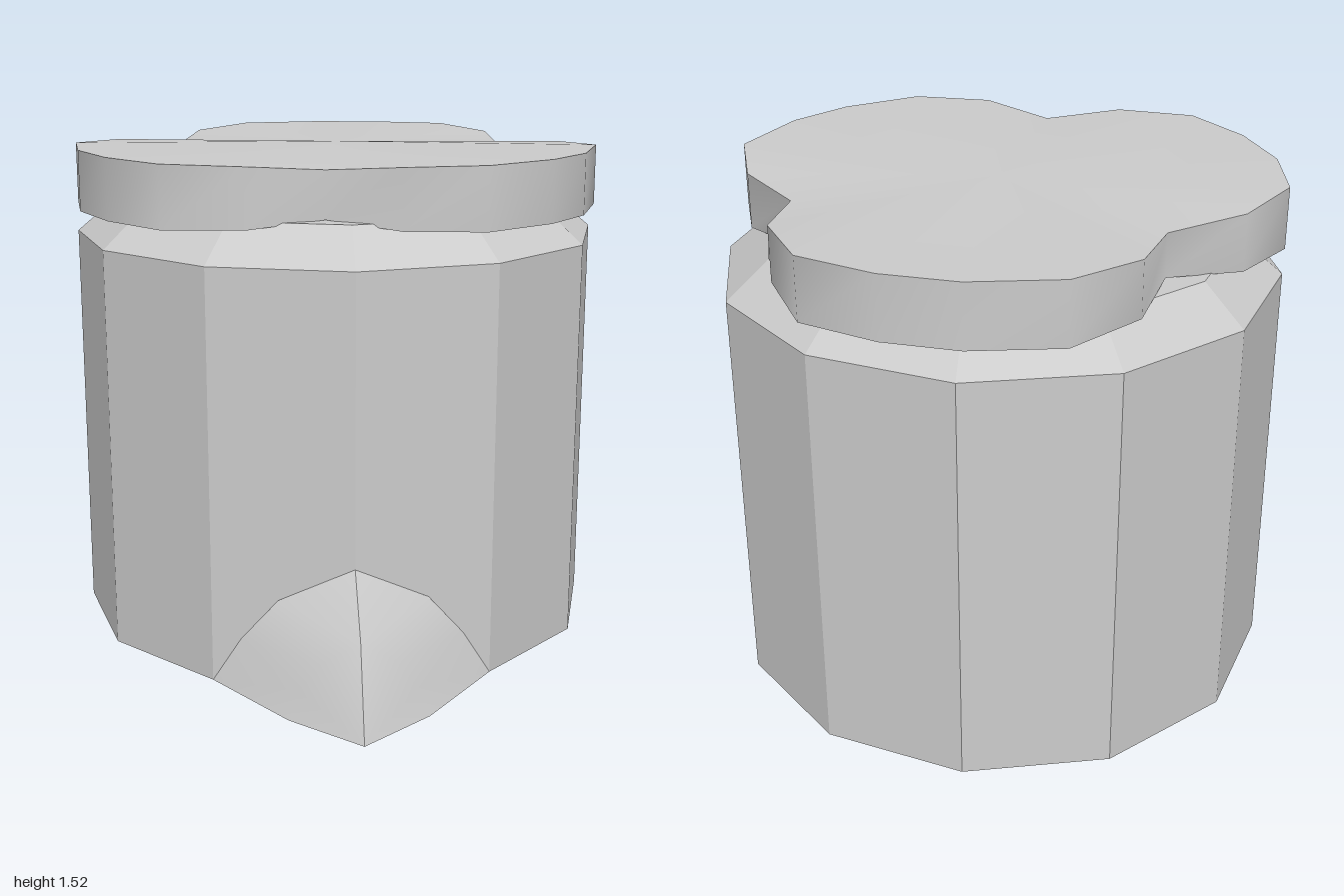
import * as THREE from 'three';
import { toCreasedNormals } from 'three/addons/utils/BufferGeometryUtils.js';

const CZ = -0.17; // body axis

function build(points, faces, crease) {
  const g = new THREE.BufferGeometry();
  g.setAttribute('position', new THREE.Float32BufferAttribute(points.flat(), 3));
  g.setIndex(faces.flat());
  return toCreasedNormals(g, crease);
}

// Irregular lobed slab, thinner where its rim pinches inward
function lidGeometry() {
  const rim = [
    [-0.02, -1], [0.2, -0.975], [0.43, -0.885], [0.56, -0.66], [0.56, -0.42], [0.73, -0.26],
    [0.81, -0.02], [0.72, 0.24], [0.59, 0.41], [0.38, 0.56], [0.14, 0.56], [-0.07, 0.44],
    [-0.3, 0.51], [-0.54, 0.46], [-0.7, 0.27], [-0.8, 0.05], [-0.83, -0.2], [-0.71, -0.41],
    [-0.5, -0.53], [-0.45, -0.77], [-0.28, -0.95],
  ];
  const n = rim.length, mid = 1.428, full = 0.093;
  const half = ([x, z]) => Math.min(full, full - (0.8 - Math.hypot(x, z + 0.2)) * 0.14);
  const points = [
    ...rim.map((p) => [p[0], mid - half(p), p[1]]),
    ...rim.map((p) => [p[0], mid + half(p), p[1]]),
    [0, mid - full, -0.2], [0, mid + full, -0.2],
  ];
  const faces = [];
  for (let i = 0; i < n; i++) {
    const j = (i + 1) % n;
    faces.push([j, i, n + i], [j, n + i, n + j], [2 * n, i, j], [2 * n + 1, n + j, n + i]);
  }
  return build(points, faces, 0.9);
}

// One half of the pointed spout, from the ridge down to the base
function spoutHalf(side) {
  const points = [
    [0, 0.38, 0.66], [0.22, 0.27, 0.605], [0.33, 0.14, 0.575], [0.415, 0, 0.549],
    [0, 0.24, 0.86], [0.11, 0.165, 0.825], [0.17, 0.08, 0.81], [0.2, 0, 0.83],
    [0, 0, 1], [0, 0, 0.66],
  ].map(([x, y, z]) => [x * side, y, z]);
  const faces = [[9, 3, 7], [9, 7, 8]];
  for (let j = 0; j < 3; j++) {
    faces.push([j, 4 + j, j + 1], [j + 1, 4 + j, 5 + j], [4 + j, 8, 5 + j]);
  }
  if (side < 0) faces.forEach((f) => f.reverse());
  return build(points, faces, 1.1);
}

export function createModel() {
  const model = new THREE.Group();
  const smooth = new THREE.MeshStandardMaterial({ color: 0xcccccc });
  const flat = new THREE.MeshStandardMaterial({ color: 0xcccccc, flatShading: true });
  const add = (name, geometry, material) => {
    const mesh = new THREE.Mesh(geometry, material);
    mesh.name = name;
    model.add(mesh);
    return mesh;
  };

  // Twelve-sided jar with a bevelled shoulder
  const profile = [[0, 0], [0.83, 0], [0.83, 1.245], [0.7, 1.355], [0, 1.355]];
  const body = new THREE.LatheGeometry(profile.map(([r, y]) => new THREE.Vector2(r, y)), 12);
  add('body', body, flat).position.z = CZ;

  add('lid', lidGeometry(), smooth);
  add('spoutLeft', spoutHalf(1), smooth);
  add('spoutRight', spoutHalf(-1), smooth);
  return model;
}
